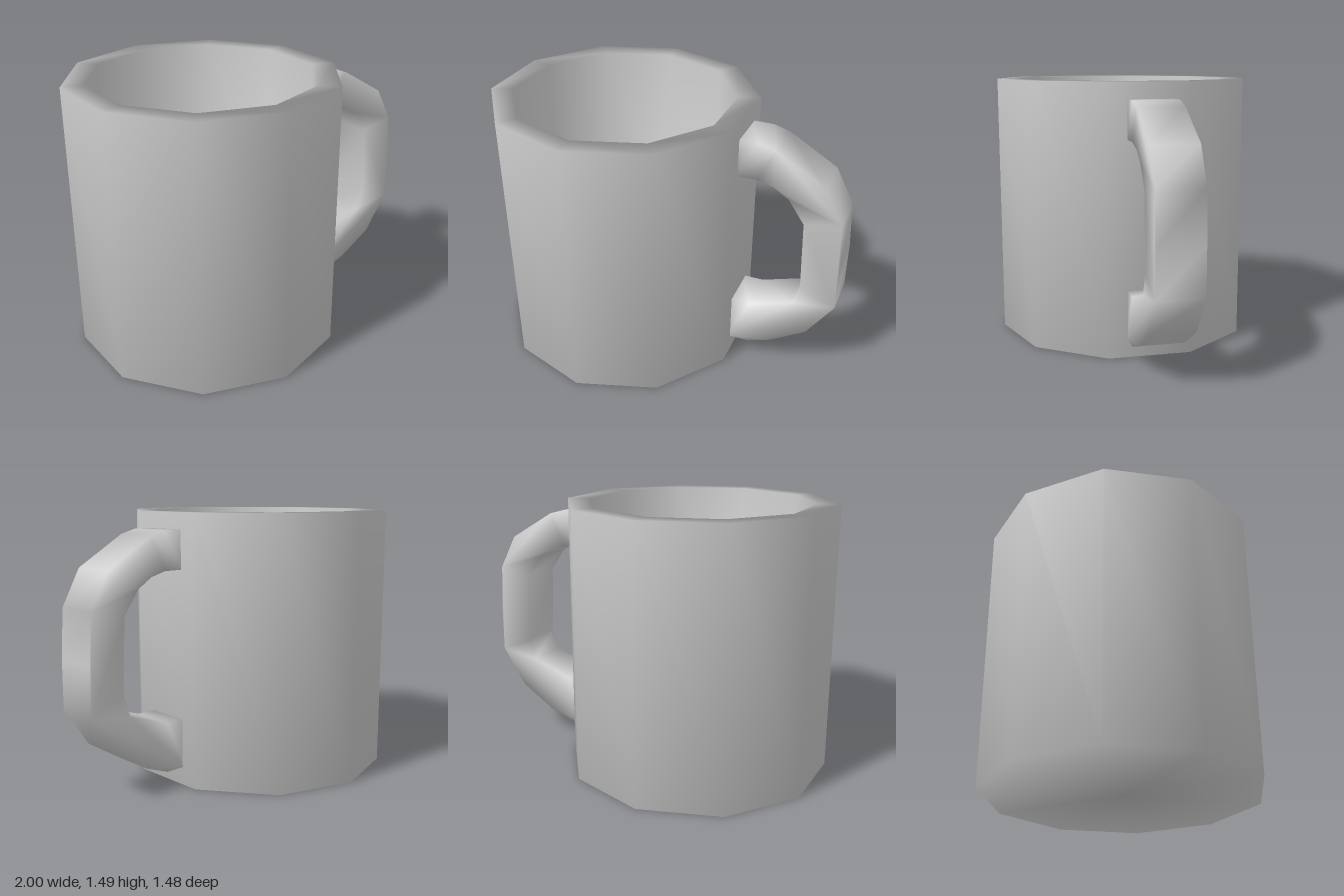
import * as THREE from 'three';
import { mergeVertices } from 'three/addons/utils/BufferGeometryUtils.js';

const material = new THREE.MeshStandardMaterial({ color: 0xcccccc });
const points = (list) => list.map(([x, y]) => new THREE.Vector2(x, y));

// Weld the corners so that the shading runs smoothly over every edge
function smooth(geometry) {
  geometry.deleteAttribute('normal');
  geometry.deleteAttribute('uv');
  const welded = mergeVertices(geometry, 1e-4);
  welded.computeVertexNormals();
  return welded;
}

function addPart(group, name, geometry) {
  const mesh = new THREE.Mesh(geometry, material);
  mesh.name = name;
  group.add(mesh);
  return mesh;
}

export function createModel() {
  const group = new THREE.Group();
  group.name = 'mug';

  // Ten-sided cup: underside, outer wall, rim, inner wall and floor
  const profile = points([
    [0, 0], [0.742, 0], [0.742, 1.49], [0.62, 1.49], [0.62, 0.12], [0, 0.12],
  ]);
  const cup = addPart(group, 'cup', smooth(new THREE.LatheGeometry(profile, 10)));
  cup.position.x = -0.294;

  // Handle: outer edge from top to bottom, then inner edge back up
  const outline = new THREE.Shape(points([
    [0.39, 1.4], [0.52, 1.4], [0.61, 1.375], [0.88, 1.215], [0.985, 1.02],
    [1, 0.75], [1, 0.49], [0.855, 0.275], [0.655, 0.15], [0.52, 0.1], [0.39, 0.1],
    [0.39, 0.375], [0.52, 0.375], [0.76, 0.455], [0.8, 0.575], [0.785, 0.98],
    [0.695, 1.11], [0.61, 1.165], [0.52, 1.19], [0.39, 1.19],
  ]));
  const bar = new THREE.ExtrudeGeometry(outline, { depth: 0.25, bevelEnabled: false });
  bar.translate(0, 0, -0.125);
  addPart(group, 'handle', smooth(bar));

  return group;
}
